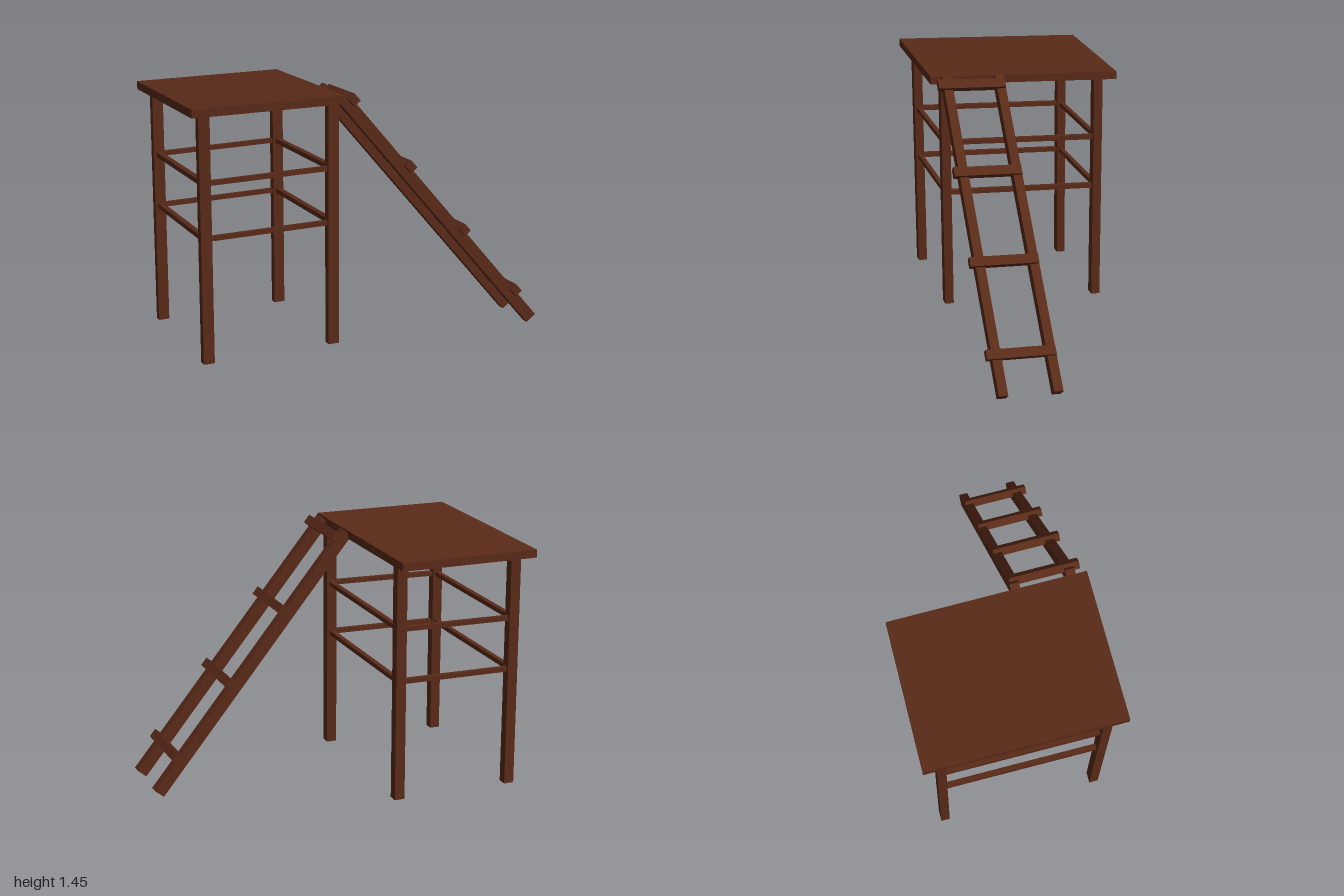
import * as THREE from 'three';

const wood = new THREE.MeshStandardMaterial({ color: 0x5a2a18, flatShading: true });

// The ground slopes: every part keeps its uprights vertical but is sheared in y.
const SLOPE_X = 0.026, SLOPE_Z = 0.056;

function plank(name, size, pos, { angle = 0, slopeX = SLOPE_X } = {}) {
  const geo = new THREE.BoxGeometry(...size);
  geo.rotateZ(angle);
  geo.translate(...pos);
  geo.applyMatrix4(new THREE.Matrix4().set(
    1, 0, 0, 0,
    slopeX, 1, SLOPE_Z, 0,
    0, 0, 1, 0,
    0, 0, 0, 1));
  const mesh = new THREE.Mesh(geo, wood);
  mesh.name = name;
  return mesh;
}

function createTower() {
  const tower = new THREE.Group();
  tower.name = 'tower';
  const legX = [-0.92, -0.22], legZ = [-0.432, 0.452];
  const midX = (legX[0] + legX[1]) / 2, midZ = (legZ[0] + legZ[1]) / 2;

  // Platform on top
  tower.add(plank('platform', [0.82, 0.045, 1.07], [-0.59, 1.392, 0], { slopeX: 0.01 }));

  // Four square legs
  const bottom = 0.05, top = 1.395;
  for (const x of legX) for (const z of legZ)
    tower.add(plank('leg', [0.06, top - bottom, 0.05], [x, (top + bottom) / 2, z]));

  // Two levels of rails around all four sides
  for (const y of [0.728, 1.024]) {
    for (const z of legZ)
      tower.add(plank('crossRail', [legX[1] - legX[0], 0.026, 0.026], [midX, y, z]));
    for (const x of legX)
      tower.add(plank('sideRail', [0.03, 0.026, legZ[1] - legZ[0]], [x, y, midZ]));
  }
  return tower;
}

function createLadder() {
  const ladder = new THREE.Group();
  ladder.name = 'ladder';
  const angle = -Math.atan2(1.369, 1.148), length = 1.787, width = 0.065;
  const along = new THREE.Vector2(Math.cos(angle), Math.sin(angle));
  const out = new THREE.Vector2(-along.y, along.x);
  const start = new THREE.Vector2(-0.176, 1.402);
  const at = (s, n) => start.clone().addScaledVector(along, s).addScaledVector(out, n);
  const options = { angle, slopeX: 0 };

  // Two stringers
  const mid = at(length / 2, 0);
  for (const z of [0.156, 0.452])
    ladder.add(plank('stringer', [length, width, 0.05], [mid.x, mid.y, z], options));

  // Rungs set halfway into the upper faces of the stringers
  for (const s of [0.056, 0.563, 1.067, 1.569]) {
    const p = at(s, width / 2);
    ladder.add(plank('rung', [0.052, 0.044, 0.374], [p.x, p.y, 0.322], options));
  }
  return ladder;
}

export function createModel() {
  const model = new THREE.Group();
  model.name = 'watchPlatform';
  model.add(createTower(), createLadder());
  return model;
}
